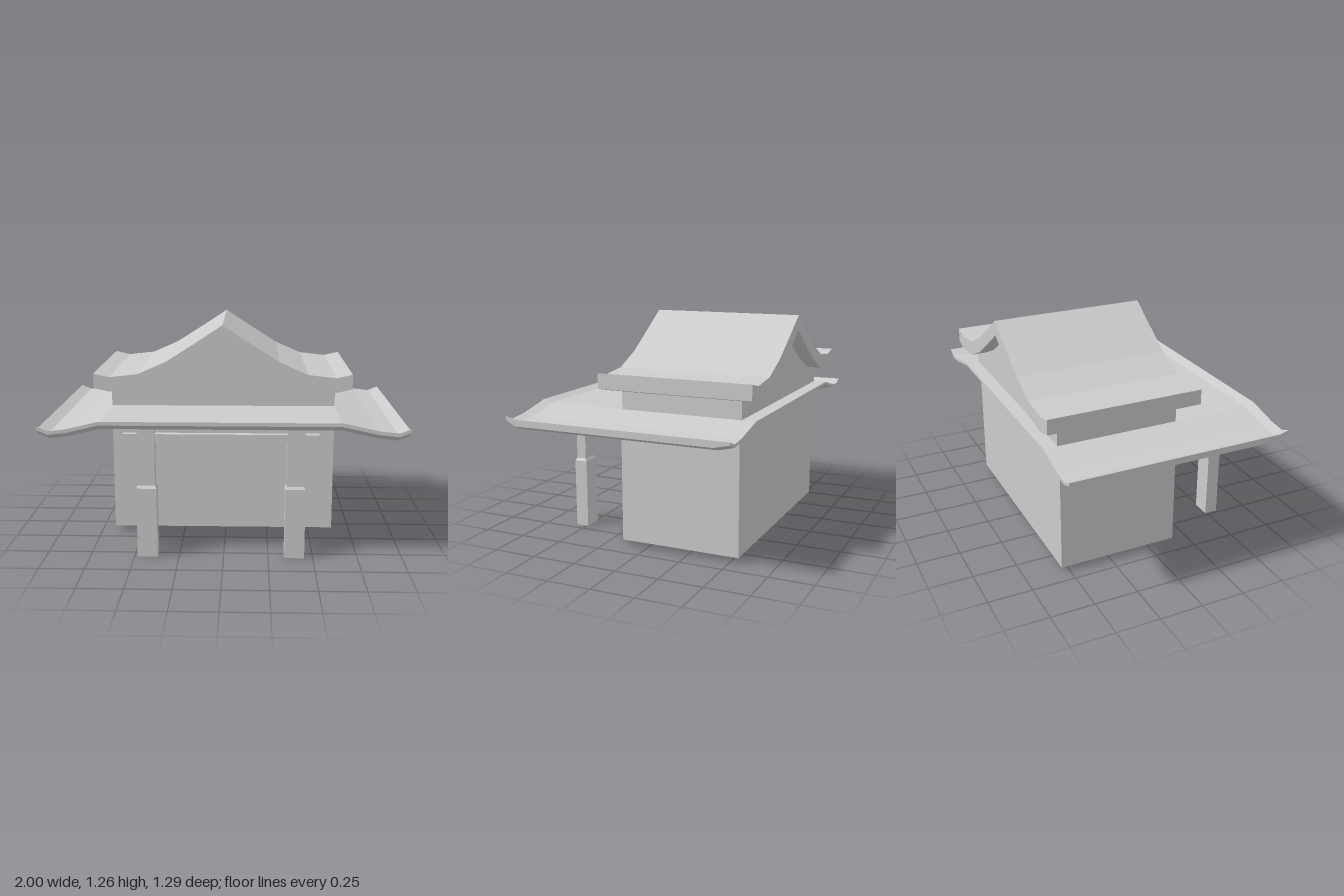
import * as THREE from 'three';

const material = new THREE.MeshStandardMaterial({ color: 0xcccccc, flatShading: true });
const CX = -0.015; // the walls, posts and upper roof share this centre line

function add(parent, name, geometry) {
  geometry.computeVertexNormals();
  const mesh = new THREE.Mesh(geometry, material);
  mesh.name = name;
  parent.add(mesh);
  return mesh;
}

// Box given by its limits on each axis
function box([x0, x1], [y0, y1], [z0, z1]) {
  return new THREE.BoxGeometry(x1 - x0, y1 - y0, z1 - z0)
    .translate((x0 + x1) / 2, (y0 + y1) / 2, (z0 + z1) / 2);
}

// Segmented unit box whose vertices are moved by rule(i, j, k) -> [x, y, z]
function warpedBox(nx, ny, nz, rule) {
  const g = new THREE.BoxGeometry(1, 1, 1, nx, ny, nz);
  const p = g.attributes.position;
  for (let v = 0; v < p.count; v++) {
    const i = Math.round((p.getX(v) + 0.5) * nx);
    const j = Math.round((p.getY(v) + 0.5) * ny);
    const k = Math.round((p.getZ(v) + 0.5) * nz);
    p.setXYZ(v, ...rule(i, j, k));
  }
  return g;
}

// Outline in x/y extruded from z0 to z1
function prism(points, z0, z1) {
  const shape = new THREE.Shape(points.map(([x, y]) => new THREE.Vector2(x, y)));
  return new THREE.ExtrudeGeometry(shape, { depth: z1 - z0, bevelEnabled: false }).translate(0, 0, z0);
}

export function createModel() {
  const model = new THREE.Group();
  model.name = 'shrine';

  // Main hall
  add(model, 'hall', box([-0.67, 0.64], [0.03, 0.76], [-0.547, 0.147]));

  // Lower roof: thin slab with drooping sides, upturned tips and a raised front lip
  const xs = [-1, -0.94, -0.85, -0.76, -0.67, 0.64, 0.74, 0.84, 0.94, 1];
  const tops = [0.752, 0.727, 0.737, 0.758, 0.78, 0.78, 0.758, 0.737, 0.727, 0.752];
  const zs = [-0.635, -0.55, 0.59, 0.645];
  const topLift = [0, 0, 0, 0.016];
  const bottomLift = [0.02, 0, 0, 0.032];
  add(model, 'lowerRoof', warpedBox(xs.length - 1, 1, zs.length - 1, (i, j, k) => [
    xs[i],
    j ? tops[i] + topLift[k] : tops[i] - 0.036 + bottomLift[k],
    zs[k],
  ]));

  // Upper roof: curved gable profile, right half mirrored to the left
  const half = [[0, 1.265], [0.16, 1.16], [0.325, 1.055], [0.49, 0.982], [0.655, 0.964], [0.745, 0.985]];
  const right = half.map(([x, y]) => [CX + x, y]);
  const left = half.slice(1).reverse().map(([x, y]) => [CX - x, y]);
  const ridge = [...left, ...right];
  const under = ridge.map(([x, y]) => [x, y - 0.085]);
  add(model, 'upperRoof', prism([...under, ...ridge.slice().reverse()], -0.645, 0.235));

  // Gable wall filling the space beneath the upper roof
  const gable = under.slice(1, -1);
  add(model, 'gable', prism([[-0.67, 0.76], [0.64, 0.76], ...gable.reverse()], -0.557, 0.138));

  // Porch posts with a wider, chamfered lower part
  const levels = [0, 0.4, 0.415, 0.75];
  const halfX = [0.056, 0.056, 0.048, 0.048];
  const halfZ = [0.038, 0.038, 0.028, 0.028];
  for (const side of [-1, 1]) {
    const post = add(model, side > 0 ? 'leftPost' : 'rightPost', warpedBox(1, 3, 1, (i, j, k) => [
      (2 * i - 1) * halfX[j], levels[j], (2 * k - 1) * halfZ[j],
    ]));
    post.position.set(CX + side * 0.411, 0, 0.528);
  }

  // Cross beam through the posts
  add(model, 'crossBeam', box([-0.552, 0.523], [0.653, 0.706], [0.51, 0.546]));

  return model;
}
